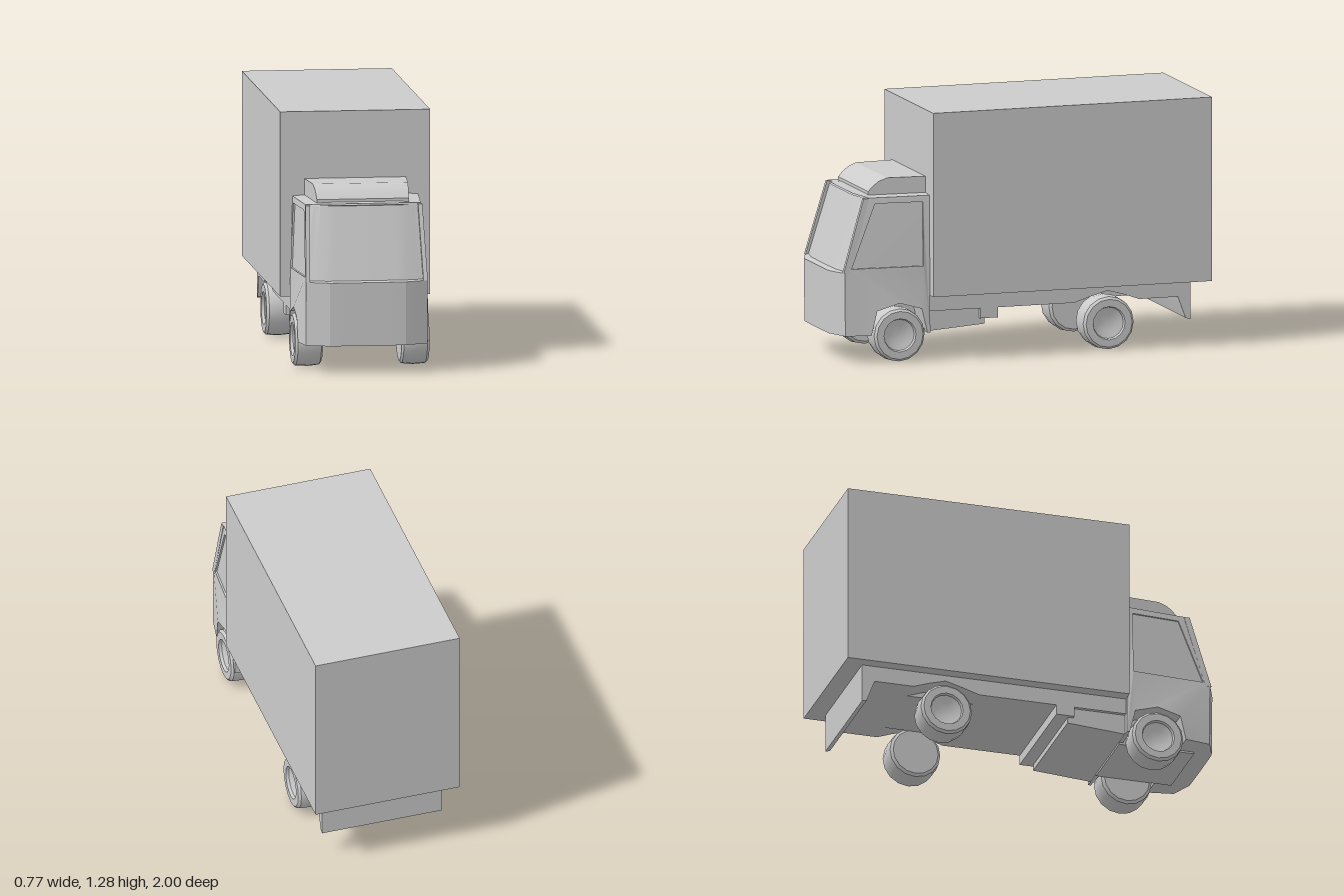
import * as THREE from 'three';
import { toCreasedNormals } from 'three/addons/utils/BufferGeometryUtils.js';

const grey = new THREE.MeshStandardMaterial({ color: 0xcccccc });

function mesh(name, geometry) {
  const m = new THREE.Mesh(geometry, grey);
  m.name = name;
  return m;
}

// Side profile given as [z, y] points, extruded across x and optionally bent
function across(points, width, { steps = 1, hole = null, bend = null } = {}) {
  const toVectors = (list) => list.map(([z, y]) => new THREE.Vector2(z, y));
  const shape = new THREE.Shape(toVectors(points));
  if (hole) shape.holes.push(new THREE.Path(toVectors(hole)));
  const geometry = new THREE.ExtrudeGeometry(shape, { depth: width, steps, bevelEnabled: false });
  geometry.translate(0, 0, -width / 2).rotateY(-Math.PI / 2);
  if (bend) {
    const p = geometry.attributes.position;
    for (let i = 0; i < p.count; i++) p.setXYZ(i, ...bend(p.getX(i), p.getY(i), p.getZ(i)));
  }
  return toCreasedNormals(geometry, 0.3);
}

function box(name, w, y0, y1, z0, z1) {
  const g = new THREE.BoxGeometry(w, y1 - y0, z1 - z0);
  return mesh(name, g.translate(0, (y0 + y1) / 2, (z0 + z1) / 2));
}

// Cab rule: u in -1..1 becomes the tapered width, and the front corners sweep back
function cabBend(u, y, z) {
  const { clamp, lerp } = THREE.MathUtils;
  const front = y < 0.473 ? 1 : 0.965 - (y - 0.475) * 0.3;
  const taper = clamp((z - front + 0.2) / 0.15, 0, 1) * 0.026;
  const half = lerp(0.338, 0.322, clamp((y - 0.47) / 0.375, 0, 1)) - taper;
  const sweep = y > 0.473 && y < 0.847 ? 0.022 : 0.045;
  const corner = clamp((Math.abs(u) - 0.62) / 0.38, 0, 1);
  const sag = y > 0.847 ? 0.008 * corner : 0;
  const back = z > front - 0.025 ? sweep * corner + 0.004 * u * u : 0;
  return [u * half, y - sag, z - back];
}

function makeCab() {
  const cab = new THREE.Group();
  cab.name = 'cab';
  const profile = [
    [0.997, 0.145], [1, 0.47], [0.962, 0.475], [0.85, 0.845], [0.867, 0.85], [0.862, 0.858],
    [0.5, 0.86], [0.5, 0.145], [0.515, 0.145], [0.545, 0.27], [0.665, 0.305], [0.785, 0.27], [0.815, 0.145],
  ];
  const sideWindow = [[0.914, 0.49], [0.785, 0.82], [0.535, 0.82], [0.535, 0.49]];
  cab.add(mesh('cabBody', across(profile, 2, { steps: 16, hole: sideWindow, bend: cabBend })));

  // Side glass set slightly into its openings
  cab.add(mesh('sideWindows', across(sideWindow, 2, {
    bend: (u, y, z) => { const [x, yy, zz] = cabBend(u, y, z); return [x * 0.97, yy, zz]; },
  })));

  // Windscreen pillars, leaning inwards towards the roof
  for (const side of [-1, 1]) {
    cab.add(mesh('windscreenPillar', across(
      [[0.957, 0.47], [0.845, 0.848], [0.815, 0.848], [0.925, 0.47]], 0.022,
      { bend: (x, y, z) => [x + side * (0.302 - (y - 0.47) * 0.035), y, z] },
    )));
  }

  // Wind deflector, wider at the back
  cab.add(mesh('roofDeflector', across(
    [[0.8, 0.855], [0.8, 0.873], [0.775, 0.9], [0.745, 0.923], [0.7, 0.94], [0.5, 0.94], [0.5, 0.855]], 2,
    { bend: (u, y, z) => [u * (0.26 - (z - 0.5) * 0.08), y, z] },
  )));
  return cab;
}

function makeChassis() {
  const chassis = new THREE.Group();
  chassis.name = 'chassis';
  // Side rails with rear wheel arches
  chassis.add(mesh('frame', across([
    [0.5, 0.34], [-0.88, 0.34], [-0.88, 0.252], [-0.63, 0.252], [-0.55, 0.28],
    [-0.46, 0.305], [-0.37, 0.28], [-0.28, 0.252], [0.5, 0.252],
  ], 0.64)));
  chassis.add(box('rearUnderbody', 0.4, 0.252, 0.33, -0.64, -0.27));
  chassis.add(box('crossMember', 0.64, 0.2, 0.26, 0.13, 0.225));
  chassis.add(mesh('frontUnderbody', across(
    [[0.52, 0.145], [0.52, 0.26], [0.2, 0.26], [0.195, 0.168]], 0.6)));
  chassis.add(box('cabUnderbody', 0.4, 0.135, 0.32, 0.5, 0.9));
  chassis.add(mesh('rearSkirt', across(
    [[-0.83, 0.34], [-0.905, 0.34], [-0.905, 0.133], [-0.88, 0.14], [-0.838, 0.252]], 0.64)));
  return chassis;
}

// Wheel profile from inner face to dished hub: [radius, offset]
function makeWheelGeometry() {
  const profile = [
    [0, -0.07], [0.12, -0.07], [0.134, -0.06], [0.14, -0.005], [0.136, 0.06], [0.124, 0.073],
    [0.086, 0.073], [0.081, 0.058], [0.045, 0.045], [0, 0.042],
  ].map(([r, h]) => new THREE.Vector2(r, h));
  return toCreasedNormals(new THREE.LatheGeometry(profile, 16), 0.5);
}

export function createModel() {
  const truck = new THREE.Group();
  truck.name = 'boxTruck';
  truck.add(box('cargoBox', 0.77, 0.335, 1.285, -1, 0.5));
  truck.add(makeCab(), makeChassis());

  const wheelGeometry = makeWheelGeometry();
  for (const [name, z] of [['frontWheel', 0.665], ['rearWheel', -0.46]]) {
    for (const side of [-1, 1]) {
      const wheel = mesh(name, wheelGeometry);
      wheel.rotation.z = -side * Math.PI / 2;
      wheel.position.set(side * 0.272, 0.14, z);
      truck.add(wheel);
    }
  }
  return truck;
}
